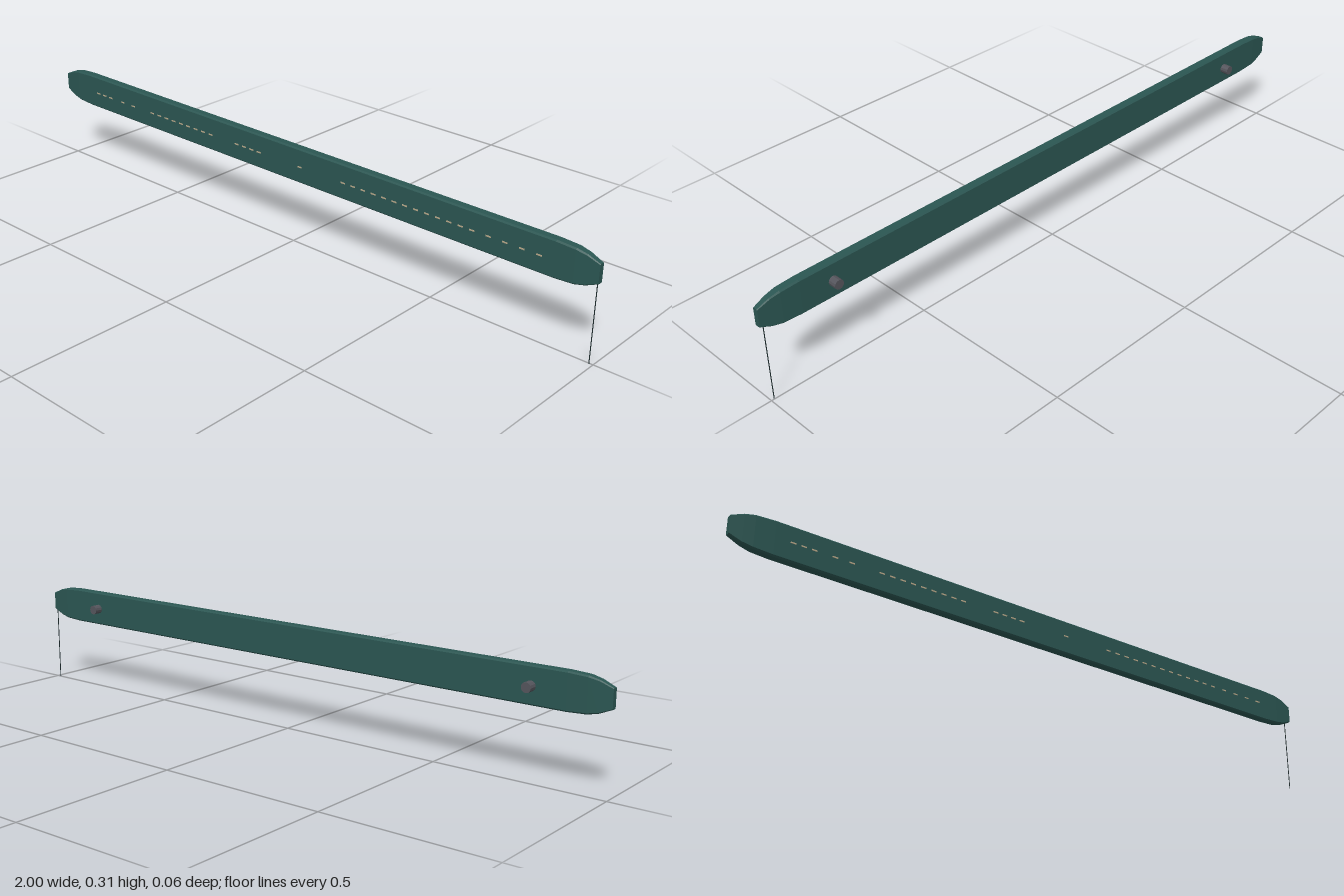
import * as THREE from 'three';

const MID_Y = 0.257;
const MID_Z = 0.01;

const paint = (color) => new THREE.MeshStandardMaterial({ color, flatShading: true });

// Bar lofted along x from chamfered-rectangle sections [x, halfHeight, halfDepth, chamfer]
function barGeometry(sections) {
  const rings = sections.map(([x, h, d, c]) =>
    [[h, -d + c], [h, d - c], [h - c, d], [-h + c, d], [-h, d - c], [-h, -d + c], [-h + c, -d], [h - c, -d]]
      .map(([y, z]) => [x, MID_Y + y, MID_Z + z]));
  const pos = [];
  const tri = (a, b, c) => pos.push(...a, ...b, ...c);
  for (let i = 0; i < rings.length - 1; i++) {
    for (let j = 0; j < 8; j++) {
      const k = (j + 1) % 8;
      const [a, b, c, d] = [rings[i][j], rings[i][k], rings[i + 1][k], rings[i + 1][j]];
      tri(a, b, c);
      tri(a, c, d);
    }
  }
  const first = rings[0], last = rings[rings.length - 1];
  for (let j = 1; j < 7; j++) {
    tri(first[0], first[j + 1], first[j]);
    tri(last[0], last[j], last[j + 1]);
  }
  const geometry = new THREE.BufferGeometry();
  geometry.setAttribute('position', new THREE.Float32BufferAttribute(pos, 3));
  geometry.computeVertexNormals();
  return geometry;
}

export function createModel() {
  const model = new THREE.Group();
  const add = (name, geometry, material, x, y, z) => {
    const mesh = new THREE.Mesh(geometry, material);
    mesh.name = name;
    mesh.position.set(x, y, z);
    model.add(mesh);
    return mesh;
  };

  // Long bar with tapered ends
  const half = [[0.88, 0.052, 0.014, 0.004], [0.935, 0.049, 0.0135, 0.004],
    [0.965, 0.042, 0.011, 0.003], [1, 0.027, 0.008, 0.002]];
  const mirrored = half.map(([x, ...rest]) => [-x, ...rest]).reverse();
  add('bar', barGeometry([...mirrored, ...half]), paint(0x2b5652), 0, 0, 0);

  // Mounting pegs on the back
  const pegGeometry = new THREE.CylinderGeometry(0.014, 0.014, 0.026, 12).rotateX(Math.PI / 2);
  const pegMaterial = paint(0x55555c);
  for (const side of [-1, 1]) {
    add(side > 0 ? 'leftPeg' : 'rightPeg', pegGeometry, pegMaterial, side * 0.782, 0.256, -0.016);
  }

  // Thin cord hanging from the left end
  add('cord', new THREE.CylinderGeometry(0.0013, 0.0013, 0.25, 8), paint(0x1c2a2c), 0.99, 0.125, 0.003);

  // Row of small plain dashes along the front: [start, end, count]
  const dashMaterial = paint(0xb9a98a);
  const dashGeometry = new THREE.BoxGeometry(0.016, 0.004, 0.001);
  const runs = [[-0.83, -0.77, 3], [-0.71, -0.66, 2], [-0.57, -0.31, 9], [-0.2, -0.11, 4],
    [0.05, 0.05, 1], [0.21, 0.64, 13], [0.69, 0.84, 4]];
  for (const [start, end, count] of runs) {
    for (let i = 0; i < count; i++) {
      const x = start + (end - start) * (count > 1 ? i / (count - 1) : 0);
      add('frontDash', dashGeometry, dashMaterial, x, MID_Y, 0.029);
    }
  }
  return model;
}
